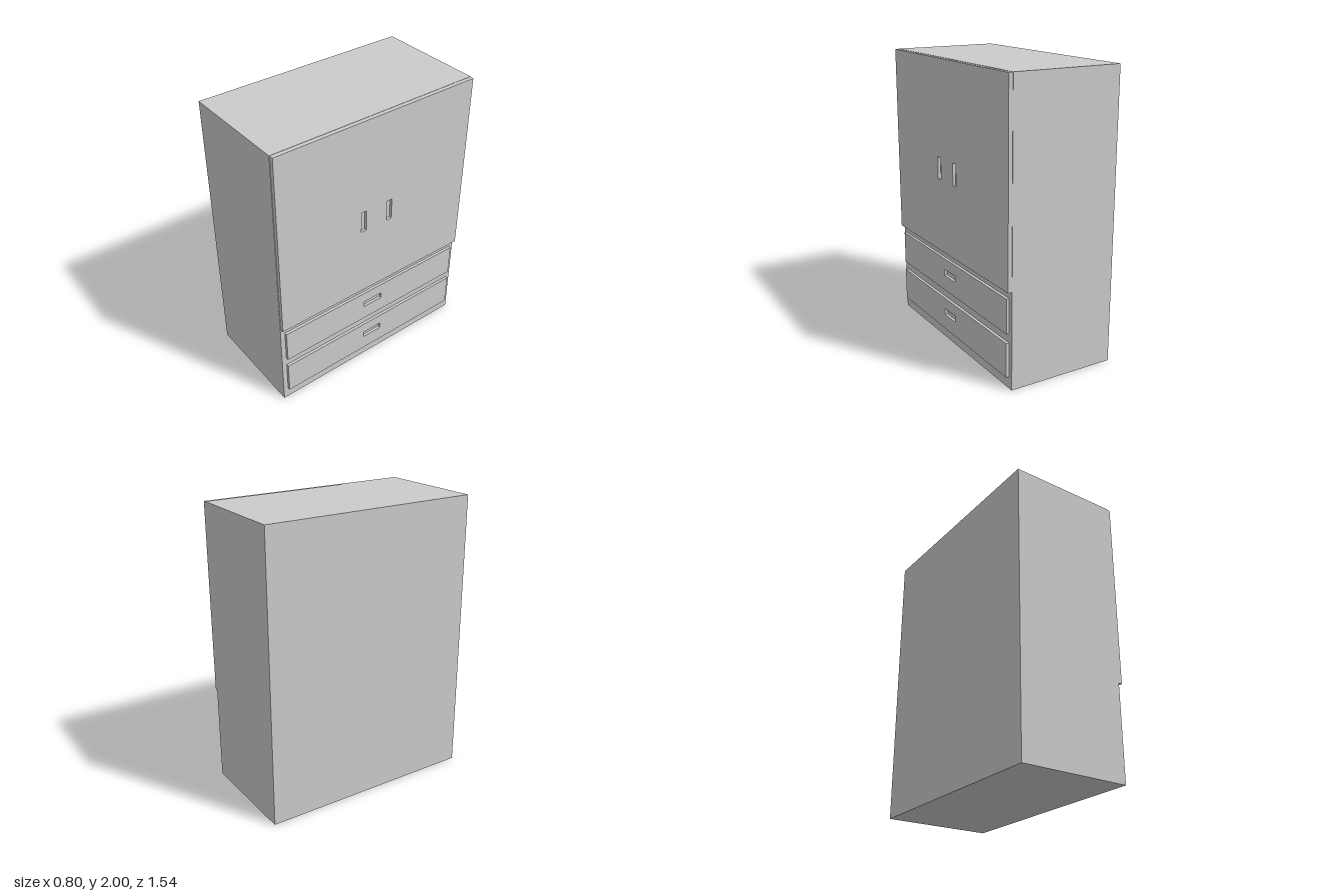
import * as THREE from 'three';

const material = new THREE.MeshStandardMaterial({ color: 0xcccccc, flatShading: true });

// Traces a rectangle, with z running opposite to the shape's own x axis
function rect(path, z0, z1, y0, y1) {
  path.moveTo(-z1, y0);
  path.lineTo(-z0, y0);
  path.lineTo(-z0, y1);
  path.lineTo(-z1, y1);
  path.closePath();
  return path;
}

// Upright panel facing +x with rectangular finger holes cut through it
function panel(name, bounds, holes, x, depth) {
  const shape = rect(new THREE.Shape(), ...bounds);
  for (const h of holes) shape.holes.push(rect(new THREE.Path(), ...h));
  const geometry = new THREE.ExtrudeGeometry(shape, { depth, bevelEnabled: false });
  geometry.rotateY(Math.PI / 2);
  geometry.translate(x, 0, 0);
  const mesh = new THREE.Mesh(geometry, material);
  mesh.name = name;
  return mesh;
}

export function createModel() {
  const group = new THREE.Group();
  group.name = 'wardrobe';

  // Cabinet body
  const body = new THREE.Mesh(new THREE.BoxGeometry(0.772, 2, 1.542), material);
  body.name = 'cabinetBody';
  body.position.set(-0.014, 1, 0);
  group.add(body);

  // Upper doors: solid backing and a face with two upright recessed grips
  const doors = new THREE.Group();
  doors.name = 'doors';
  const bounds = [-0.768, 0.768, 0.667, 1.998];
  const grips = [[0.09, 0.132, 1.18, 1.335], [-0.122, -0.08, 1.18, 1.335]];
  doors.add(panel('doorBacking', bounds, [], 0.372, 0.008));
  doors.add(panel('doorFace', bounds, grips, 0.38, 0.02));
  group.add(doors);

  // Two drawers with level recessed grips
  [0.08, 0.38].forEach((y, i) => {
    const grip = [-0.07, 0.085, y + 0.111, y + 0.156];
    group.add(panel(`drawerFront${i + 1}`, [-0.737, 0.737, y, y + 0.236], [grip], 0.372, 0.02));
  });

  return group;
}
